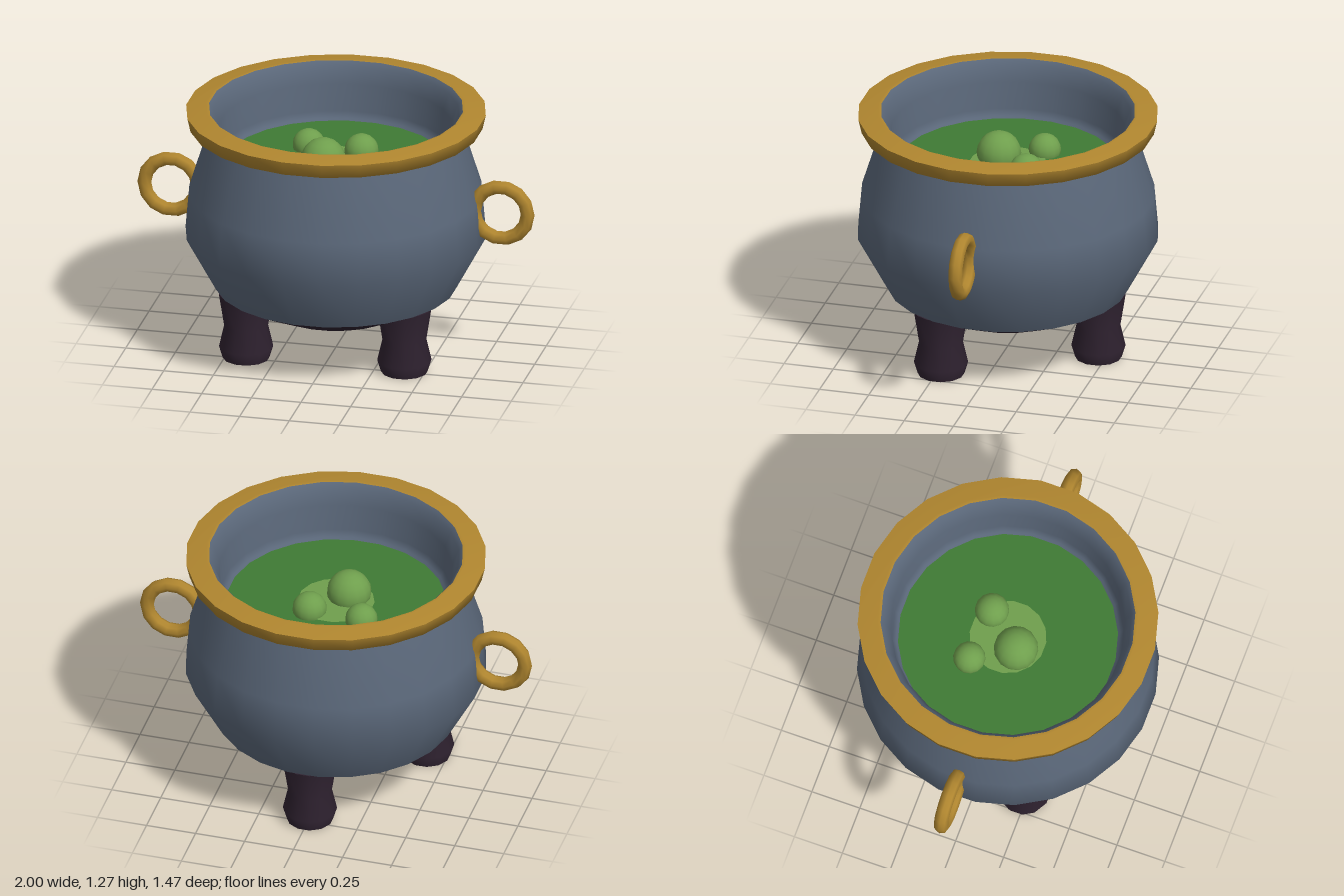
import * as THREE from 'three';

const SIDES = 24;

function material(name, color, side = THREE.FrontSide) {
  const m = new THREE.MeshStandardMaterial({ color, side });
  m.name = name;
  return m;
}

function add(parent, name, geometry, mat, x = 0, y = 0, z = 0) {
  const mesh = new THREE.Mesh(geometry, mat);
  mesh.name = name;
  mesh.position.set(x, y, z);
  parent.add(mesh);
  return mesh;
}

// Turned surface from [radius, height] pairs, with a flat facing the front
function turned(profile, sides = SIDES) {
  const points = profile.map(([r, y]) => new THREE.Vector2(r, y));
  return new THREE.LatheGeometry(points, sides, Math.PI / sides, Math.PI * 2);
}

function disc(radius, sides) {
  return new THREE.CircleGeometry(radius, sides, Math.PI / sides).rotateX(-Math.PI / 2);
}

export function createModel() {
  const model = new THREE.Group();
  model.name = 'cauldron';

  const steel = material('blue grey iron', 0x5a6779);
  const gold = material('old gold', 0xb0862f);
  const dark = material('dark iron', 0x2f2230);
  const brew = material('green brew', 0x3f7a34);
  const froth = material('light green froth', 0x6f9f4d);

  // Pot: outer belly, inner wall and dark underside
  add(model, 'belly', turned([[0.595, 0.34], [0.741, 0.61], [0.722, 0.83], [0.622, 1.15], [0.61, 1.2]]), steel);
  add(model, 'innerWall', turned([[0.632, 1.264], [0.605, 1.24], [0.575, 1.16], [0.568, 1.02], [0.55, 0.99], [0.53, 0.97]]), steel);
  add(model, 'underside', turned([[0, 0.22], [0.34, 0.22], [0.595, 0.34]]), dark);

  // Rim: separate strips keep its edges sharp
  const rim = new THREE.Group();
  rim.name = 'rim';
  model.add(rim);
  add(rim, 'rimSide', turned([[0.61, 1.148], [0.722, 1.18], [0.738, 1.25]]), gold);
  add(rim, 'rimTop', turned([[0.738, 1.25], [0.64, 1.266], [0.625, 1.264]]), gold);

  // Brew with a froth patch and bubbles
  add(model, 'brew', disc(0.552, SIDES), brew, 0, 0.98, 0);
  add(model, 'frothPatch', disc(0.19, 16), froth, 0, 0.986, 0);
  const bubbles = [[-0.05, 1.01, 0.06, 0.11], [-0.17, 1.0, -0.14, 0.08], [0.1, 1.0, -0.12, 0.085]];
  for (const [x, y, z, r] of bubbles) {
    add(model, 'bubble', new THREE.SphereGeometry(r, 14, 10), froth, x, y, z);
  }

  // Ring handles on both sides
  for (const side of [-1, 1]) {
    const name = side > 0 ? 'leftHandle' : 'rightHandle';
    add(model, name, new THREE.TorusGeometry(0.135, 0.035, 8, 14), gold, side * 0.83, 0.785, 0);
  }

  // Three waisted legs, one at the back and two towards the front
  for (let i = 0; i < 3; i++) {
    const a = Math.PI + (i * Math.PI * 2) / 3;
    const leg = new THREE.Group();
    leg.name = 'leg';
    leg.position.set(Math.sin(a) * 0.46, 0, Math.cos(a) * 0.46);
    model.add(leg);
    add(leg, 'legShaft', turned([[0.115, 0], [0.133, 0.06], [0.108, 0.17], [0.134, 0.335]], 12), dark);
    add(leg, 'legSole', turned([[0, 0], [0.115, 0]], 12), dark);
    add(leg, 'legTop', turned([[0.134, 0.335], [0, 0.335]], 12), dark);
  }

  return model;
}
